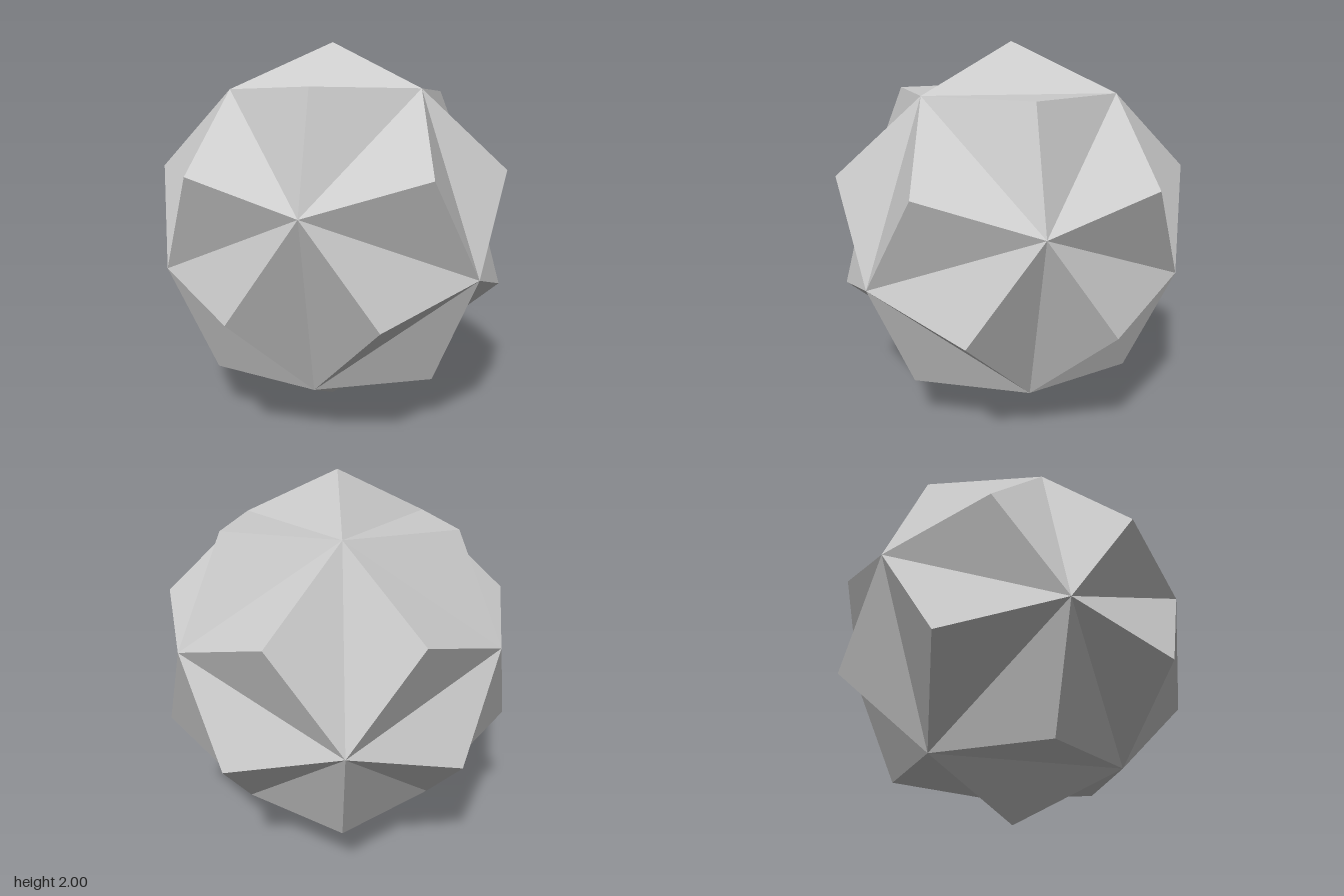
import * as THREE from 'three';

// Icosahedron with a shallow three-sided pyramid raised on each of its 20 faces
export function createModel() {
  const apexRadius = 1;
  // Radius at which neighbouring pyramid sides share a plane
  const baseRadius = 0.938 * apexRadius;

  const base = new THREE.IcosahedronGeometry(baseRadius, 0).getAttribute('position');
  const corner = (i) => new THREE.Vector3().fromBufferAttribute(base, i);
  const centroid = (a, b, c) => new THREE.Vector3().add(a).add(b).add(c).divideScalar(3);

  // Three pyramid sides per base face
  const points = [];
  for (let i = 0; i < base.count; i += 3) {
    const [a, b, c] = [corner(i), corner(i + 1), corner(i + 2)];
    const apex = centroid(a, b, c).setLength(apexRadius);
    points.push(a, b, apex, b, c, apex, c, a, apex);
  }
  const geometry = new THREE.BufferGeometry().setFromPoints(points);

  // Turn one pyramid straight up, with a corner of its base towards the back
  const up = centroid(corner(0), corner(1), corner(2)).normalize();
  const front = corner(0).projectOnPlane(up).normalize().negate();
  const right = new THREE.Vector3().crossVectors(up, front);
  geometry.applyMatrix4(new THREE.Matrix4().makeBasis(right, up, front).transpose());
  geometry.translate(0, apexRadius, 0);
  geometry.computeVertexNormals();

  const material = new THREE.MeshStandardMaterial({ color: 0xcccccc, flatShading: true });
  const star = new THREE.Mesh(geometry, material);
  star.name = 'facetedStar';

  const group = new THREE.Group();
  group.name = 'starPolyhedron';
  group.add(star);
  return group;
}
